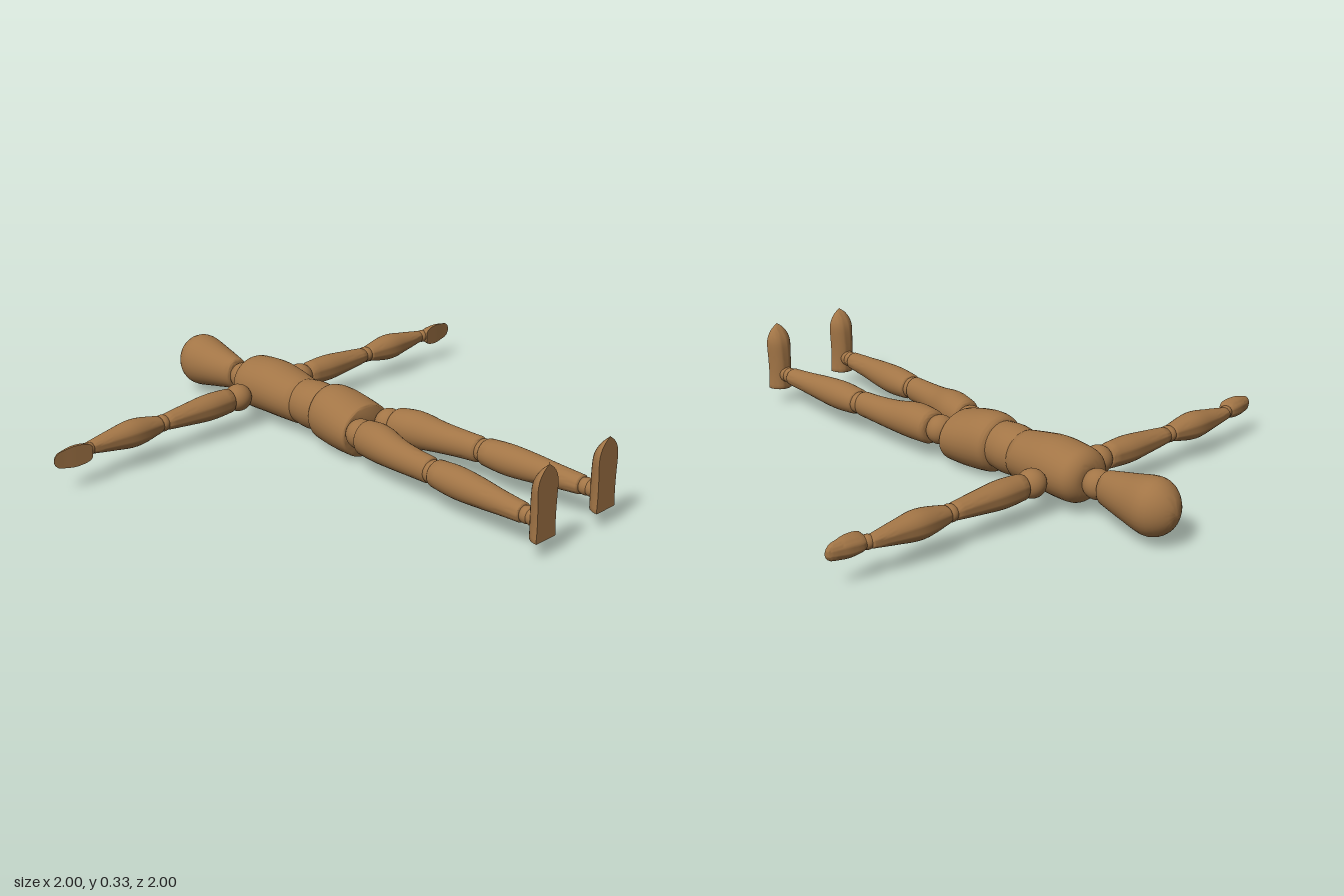
import * as THREE from 'three';
import { toCreasedNormals } from 'three/addons/utils/BufferGeometryUtils.js';

const wood = new THREE.MeshStandardMaterial({ color: 0xa27546 });
wood.name = 'warm wood';
const CY = 0.125; // height of the body axis

// Turned part along z. keys: [z, centreX, centreY, radiusX, radiusY];
// f0 and f1 round the two ends; half = true gives a flat underside.
function turned(name, keys, f0, f1, half = false, seg = 32) {
  const curve = new THREE.CubicInterpolant(
    keys.map((k) => k[0]), keys.flatMap((k) => k.slice(1)), 4, new Float32Array(4));
  const z0 = keys[0][0], z1 = keys[keys.length - 1][0];
  const stops = [], n = 8, body = 14;
  for (let i = 0; i < n; i++) stops.push(z0 + f0 * (1 - Math.cos((i / n) * Math.PI / 2)));
  for (let i = 0; i <= body; i++) stops.push(z0 + f0 + (z1 - f1 - z0 - f0) * i / body);
  for (let i = n - 1; i >= 0; i--) stops.push(z1 - f1 * (1 - Math.cos((i / n) * Math.PI / 2)));

  const cut = (d, f) => (d >= f ? 0 : f * (1 - Math.sqrt(Math.max(0, 1 - ((f - d) / f) ** 2))));
  const pos = [], idx = [];
  for (const z of stops) {
    const [cx, cy, rx, ry] = curve.evaluate(z);
    const c = cut(z - z0, f0) + cut(z1 - z, f1);
    const a = Math.max(rx - c, 0.0005);
    const b = half ? Math.max(ry * a / rx, 0.0005) : Math.max(ry - c, 0.0005);
    for (let j = 0; j < seg; j++) {
      const t = (j / seg) * Math.PI * 2;
      const s = half ? Math.max(Math.sin(t), 0) : Math.sin(t);
      pos.push(cx + a * Math.cos(t), cy + b * s, z);
    }
  }
  const last = (stops.length - 1) * seg;
  for (let i = 0; i < last; i += seg) {
    for (let j = 0; j < seg; j++) {
      const k = (j + 1) % seg;
      idx.push(i + j, i + k, i + seg + j, i + k, i + seg + k, i + seg + j);
    }
  }
  // flat end caps
  for (let j = 1; j < seg - 1; j++) idx.push(0, j + 1, j, last, last + j, last + j + 1);
  const geo = new THREE.BufferGeometry();
  geo.setAttribute('position', new THREE.Float32BufferAttribute(pos, 3));
  geo.setIndex(idx);
  const mesh = new THREE.Mesh(toCreasedNormals(geo, 0.7), wood);
  mesh.name = name;
  return mesh;
}

function ball(name, x, y, z, rx, ry = rx, rz = rx) {
  const mesh = new THREE.Mesh(new THREE.SphereGeometry(1, 32, 20), wood);
  mesh.name = name;
  mesh.position.set(x, y, z);
  mesh.scale.set(rx, ry, rz);
  return mesh;
}

function makeLeg(s) {
  const leg = new THREE.Group();
  leg.name = s > 0 ? 'leftLeg' : 'rightLeg';
  leg.add(ball('hipBall', s * 0.073, CY, 0.08, 0.055, 0.055, 0.052));
  leg.add(turned('thigh', [
    [0.105, s * 0.081, CY, 0.062, 0.064], [0.2, s * 0.092, 0.13, 0.068, 0.069],
    [0.3, s * 0.108, 0.126, 0.056, 0.058], [0.4, s * 0.12, 0.126, 0.047, 0.051],
    [0.48, s * 0.126, 0.127, 0.043, 0.048],
  ], 0.02, 0.012));
  leg.add(ball('kneeBall', s * 0.129, 0.127, 0.49, 0.044, 0.042, 0.035));
  leg.add(turned('shin', [
    [0.495, s * 0.128, 0.127, 0.051, 0.048], [0.6, s * 0.132, 0.126, 0.055, 0.056],
    [0.7, s * 0.138, 0.126, 0.05, 0.051], [0.8, s * 0.145, 0.126, 0.041, 0.042],
    [0.905, s * 0.151, 0.126, 0.036, 0.034],
  ], 0.015, 0.006));
  leg.add(ball('ankleBall', s * 0.152, 0.126, 0.92, 0.031));
  leg.add(ball('ankleJoint', s * 0.153, 0.126, 0.945, 0.03));
  // upright foot with its flat sole facing the front
  const foot = turned('foot', [
    [0.065, 0, 0, 0.049, 0.055], [0.12, 0, 0, 0.046, 0.057], [0.18, 0, 0, 0.047, 0.057],
    [0.24, 0, 0, 0.05, 0.053], [0.335, 0, 0, 0.05, 0.036],
  ], 0.003, 0.085, true);
  foot.rotation.x = -Math.PI / 2;
  foot.position.set(s * 0.155, 0, 1);
  leg.add(foot);
  return leg;
}

// Arm is made along local z, then laid out sideways
function makeArm(s) {
  const arm = new THREE.Group();
  arm.name = s > 0 ? 'leftArm' : 'rightArm';
  arm.add(ball('shoulderBall', 0, 0, 0.158, 0.052));
  arm.add(turned('upperArm', [
    [0.195, 0, 0, 0.046, 0.043], [0.3, 0, 0, 0.05, 0.051], [0.4, 0, 0, 0.041, 0.044],
    [0.51, 0, 0, 0.029, 0.033],
  ], 0.015, 0.01));
  arm.add(ball('elbowBall', 0, 0, 0.52, 0.031, 0.034, 0.03));
  arm.add(turned('forearm', [
    [0.528, 0, 0, 0.03, 0.034], [0.65, 0, 0, 0.051, 0.051], [0.74, 0, 0, 0.039, 0.041],
    [0.845, 0, 0, 0.021, 0.025],
  ], 0.012, 0.008));
  arm.add(ball('wristBall', 0, -0.006, 0.848, 0.025));
  // hand with a flat palm facing the front
  arm.add(turned('hand', [
    [0.85, 0, -0.036, 0.026, 0.046], [0.87, 0, -0.034, 0.034, 0.05], [0.92, 0, -0.029, 0.039, 0.043],
    [0.96, 0, -0.024, 0.033, 0.028], [1, 0, -0.02, 0.026, 0.012],
  ], 0.012, 0.028, true));
  const basis = new THREE.Matrix4().makeBasis(
    new THREE.Vector3(0, -s, 0), new THREE.Vector3(0, 0, -1), new THREE.Vector3(s, 0, 0));
  arm.quaternion.setFromRotationMatrix(basis);
  arm.position.set(0, CY, -0.497);
  return arm;
}

export function createModel() {
  const figure = new THREE.Group();
  figure.name = 'woodenFigure';
  // head and torso
  figure.add(turned('head', [
    [-1, 0, 0.13, 0.088, 0.095], [-0.9, 0, 0.132, 0.095, 0.102], [-0.8, 0, 0.13, 0.078, 0.083],
    [-0.685, 0, 0.128, 0.05, 0.06],
  ], 0.1, 0.012));
  figure.add(ball('neck', 0, 0.127, -0.65, 0.053, 0.054, 0.053));
  figure.add(turned('chest', [
    [-0.62, 0, 0.133, 0.099, 0.091], [-0.55, 0, 0.135, 0.109, 0.1], [-0.45, 0, 0.138, 0.109, 0.102],
    [-0.36, 0, 0.131, 0.102, 0.095], [-0.285, 0, 0.124, 0.09, 0.088],
  ], 0.05, 0.012));
  figure.add(turned('waist', [
    [-0.3, 0, 0.126, 0.085, 0.085], [-0.235, 0, 0.126, 0.093, 0.092], [-0.17, 0, 0.126, 0.086, 0.087],
  ], 0.01, 0.01));
  figure.add(turned('pelvis', [
    [-0.182, 0, 0.123, 0.102, 0.102], [-0.12, 0, 0.121, 0.112, 0.111], [-0.04, 0, 0.112, 0.119, 0.108],
    [0.038, 0, 0.102, 0.12, 0.098],
  ], 0.03, 0.008));
  // limbs
  for (const s of [1, -1]) figure.add(makeLeg(s), makeArm(s));
  return figure;
}
